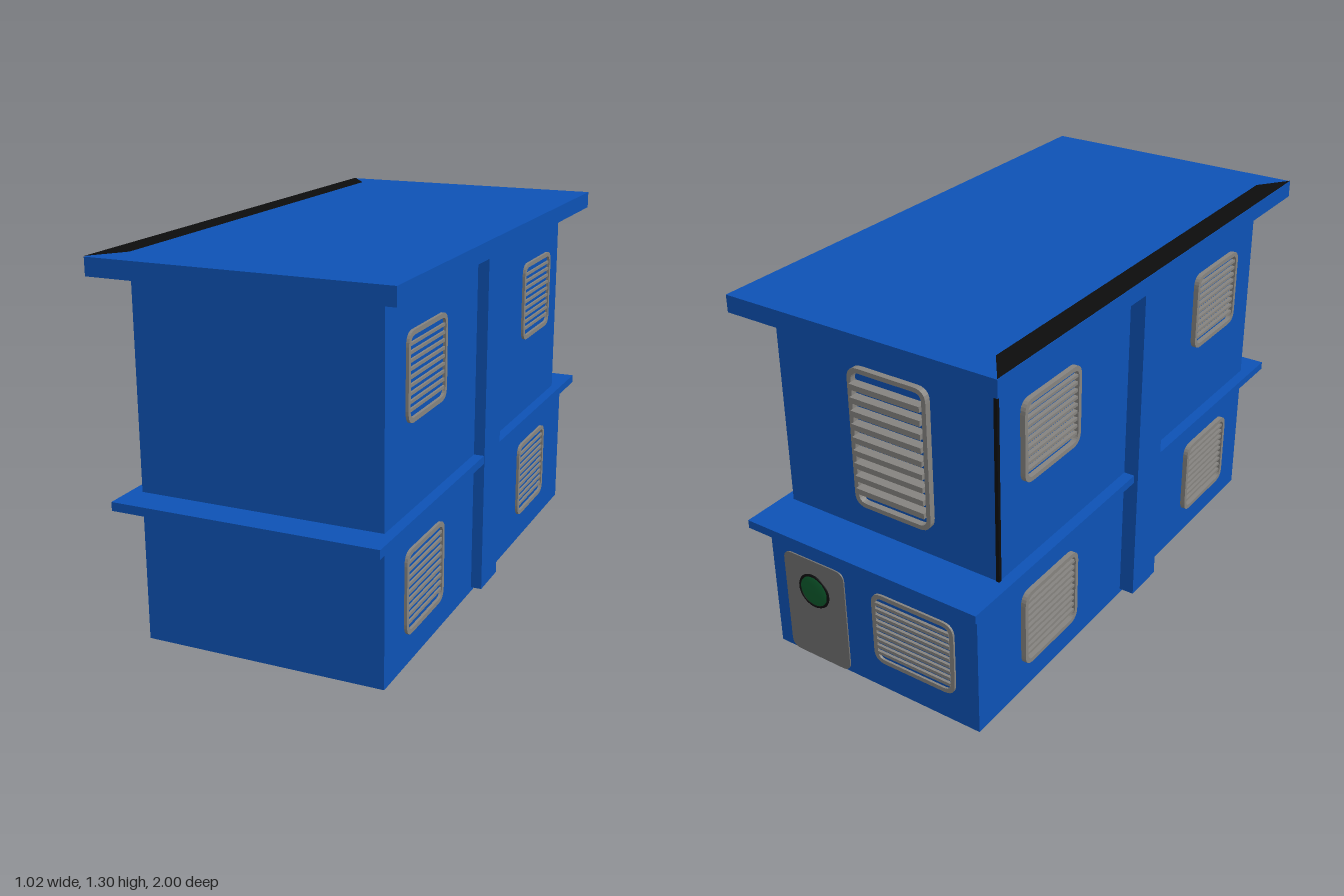
import * as THREE from 'three';

const mat = (name, color, side = THREE.FrontSide) => {
  const m = new THREE.MeshStandardMaterial({ color, side });
  m.name = name;
  return m;
};

export function createModel() {
  const blue = mat('blue wall', 0x0d52b5);
  const grey = mat('grey metal', 0x85837f);
  const doorGrey = mat('door grey', 0x707070);
  const green = mat('dark green', 0x0d5a2c);
  const black = mat('black trim', 0x0c0c0c, THREE.DoubleSide);
  const root = new THREE.Group();

  const add = (name, geometry, material, parent = root) => {
    const mesh = new THREE.Mesh(geometry, material);
    mesh.name = name;
    parent.add(mesh);
    return mesh;
  };

  // Box given by its minimum and maximum on each axis
  const block = (name, x0, x1, y0, y1, z0, z1, material = blue) =>
    add(name, new THREE.BoxGeometry(x1 - x0, y1 - y0, z1 - z0), material)
      .position.set((x0 + x1) / 2, (y0 + y1) / 2, (z0 + z1) / 2);

  const roundedRect = (path, w, h, r) => {
    const x = w / 2, y = h / 2;
    path.moveTo(-x + r, -y).lineTo(x - r, -y).quadraticCurveTo(x, -y, x, -y + r)
      .lineTo(x, y - r).quadraticCurveTo(x, y, x - r, y)
      .lineTo(-x + r, y).quadraticCurveTo(-x, y, -x, y - r)
      .lineTo(-x, -y + r).quadraticCurveTo(-x, -y, -x + r, -y);
    return path;
  };

  // Louvred opening: rounded frame and horizontal slats, facing local +z
  const louvre = (name, w, h, depth, slats, slatHeight, slatDepth) => {
    const group = new THREE.Group();
    group.name = name;
    const rim = 0.016;
    const shape = roundedRect(new THREE.Shape(), w, h, 0.045);
    shape.holes.push(roundedRect(new THREE.Path(), w - 2 * rim, h - 2 * rim, 0.03));
    add('frame', new THREE.ExtrudeGeometry(shape, { depth, bevelEnabled: false, curveSegments: 6 }), grey, group);
    const step = (h - 2 * rim) / (slats + 1);
    for (let i = 1; i <= slats; i++) {
      const slat = add('slat', new THREE.BoxGeometry(w - 2 * rim, slatHeight, slatDepth), grey, group);
      slat.position.set(0, -h / 2 + rim + i * step, slatDepth / 2);
    }
    root.add(group);
    return group;
  };

  // Building volumes
  block('lowerStorey', -0.425, 0.425, 0, 0.5, -0.94, 0.885);
  block('upperStorey', -0.425, 0.425, 0.5, 1.25, -0.82, 0.885);
  block('ledge', -0.465, 0.462, 0.49, 0.52, -1, 1);
  block('roof', -0.51, 0.51, 1.24, 1.3, -0.935, 1);
  block('leftPilaster', 0.42, 0.464, 0.015, 1.23, -0.05, 0.11);
  block('rightPilaster', -0.48, -0.42, 0.015, 1.23, -0.05, 0.11);

  // Black mitred strip on the roof and slim corner trim
  const strip = new THREE.Shape([[-0.51, -1], [-0.425, -0.885], [-0.425, 0.82], [-0.51, 0.935]]
    .map(([x, y]) => new THREE.Vector2(x, y)));
  const roofStrip = add('roofStrip', new THREE.ShapeGeometry(strip), black);
  roofStrip.rotation.x = -Math.PI / 2;
  roofStrip.position.y = 1.302;
  block('cornerTrim', -0.428, -0.416, 0.52, 1.24, -0.823, -0.811, black);

  // Side windows, two per storey on each side
  for (const side of [-1, 1]) {
    for (const y of [0.25, 0.955]) {
      for (const z of [0.57, -0.54]) {
        const win = louvre('sideWindow', 0.32, 0.29, side > 0 ? 0.01 : 0.018, 9, 0.01, side > 0 ? 0.007 : 0.014);
        win.rotation.y = side * Math.PI / 2;
        win.position.set(side * 0.425, y, z);
      }
    }
  }

  // Rear louvres
  const upperVent = louvre('upperRearVent', 0.305, 0.505, 0.022, 9, 0.02, 0.034);
  upperVent.rotation.y = Math.PI;
  upperVent.position.set(-0.03, 0.873, -0.82);
  const lowerVent = louvre('lowerRearVent', 0.33, 0.28, 0.008, 9, 0.012, 0.01);
  lowerVent.rotation.y = Math.PI;
  lowerVent.position.set(-0.172, 0.25, -0.94);

  // Rear door with a round green window
  const door = add('rearDoor', new THREE.ExtrudeGeometry(roundedRect(new THREE.Shape(), 0.26, 0.405, 0.035),
    { depth: 0.005, bevelEnabled: false, curveSegments: 6 }), doorGrey);
  door.position.set(0.24, 0.205, -0.945);
  const rim = add('portholeRim', new THREE.TorusGeometry(0.061, 0.005, 6, 32), black);
  rim.position.set(0.245, 0.285, -0.945);
  const glass = add('porthole', new THREE.SphereGeometry(0.06, 24, 8, 0, Math.PI * 2, 0, Math.PI / 2), green);
  glass.scale.y = 0.12;
  glass.rotation.x = -Math.PI / 2;
  glass.position.set(0.245, 0.285, -0.945);

  return root;
}
